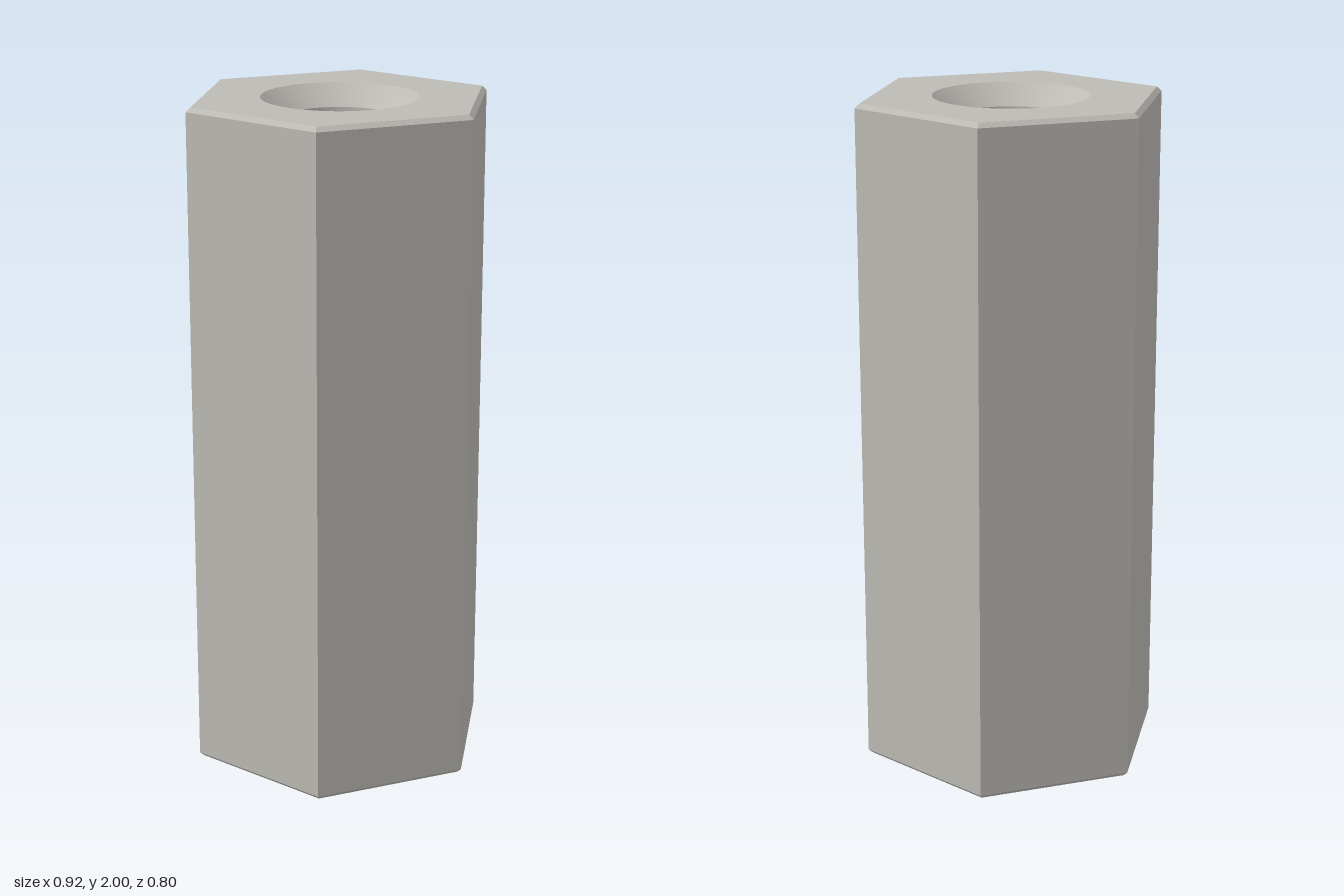
import * as THREE from 'three';
import { toCreasedNormals } from 'three/addons/utils/BufferGeometryUtils.js';

const HEIGHT = 2;
const APOTHEM = 0.4;                        // half the width across flats
const CHAMFER = 0.013;
const BORE = 0.165;                         // hole radius
const SINK = 0.227;                         // countersink rim radius
const SIDES = 64;
const corner = (apothem) => apothem / Math.cos(Math.PI / 6);

// Revolve [radius, y] pairs, keeping hard edges crisp
function revolve(points, segments, start = 0) {
  const profile = points.map(([r, y]) => new THREE.Vector2(r, y));
  return toCreasedNormals(new THREE.LatheGeometry(profile, segments, start), 0.5);
}

export function createModel() {
  const steel = new THREE.MeshStandardMaterial({ color: 0xbdbbb5 });
  steel.name = 'steel';
  const group = new THREE.Group();
  group.name = 'hexStandoff';

  function add(name, geometry, y = 0) {
    const mesh = new THREE.Mesh(geometry, steel);
    mesh.name = name;
    mesh.position.y = y;
    group.add(mesh);
  }

  // Six flats with a small chamfer at both ends
  const outer = corner(APOTHEM);
  const inner = corner(APOTHEM - CHAMFER);
  add('hexBody', revolve([
    [inner, 0], [outer, CHAMFER], [outer, HEIGHT - CHAMFER], [inner, HEIGHT],
  ], 6, Math.PI / 2));

  // Through hole with a 45 degree countersink at both ends, facing inward
  const depth = SINK - BORE;
  add('bore', revolve([
    [SINK, HEIGHT], [BORE, HEIGHT - depth], [BORE, depth], [SINK, 0],
  ], SIDES));

  // Hexagonal end faces with a round opening
  const ring = (radius, n) => Array.from({ length: n }, (_, i) => {
    const a = (i / n) * Math.PI * 2;
    return new THREE.Vector2(Math.cos(a) * radius, Math.sin(a) * radius);
  });
  const face = new THREE.Shape(ring(inner, 6));
  face.holes.push(new THREE.Path(ring(SINK, SIDES)));
  add('topFace', new THREE.ShapeGeometry(face).rotateX(-Math.PI / 2), HEIGHT);
  add('bottomFace', new THREE.ShapeGeometry(face).rotateX(Math.PI / 2));

  return group;
}
